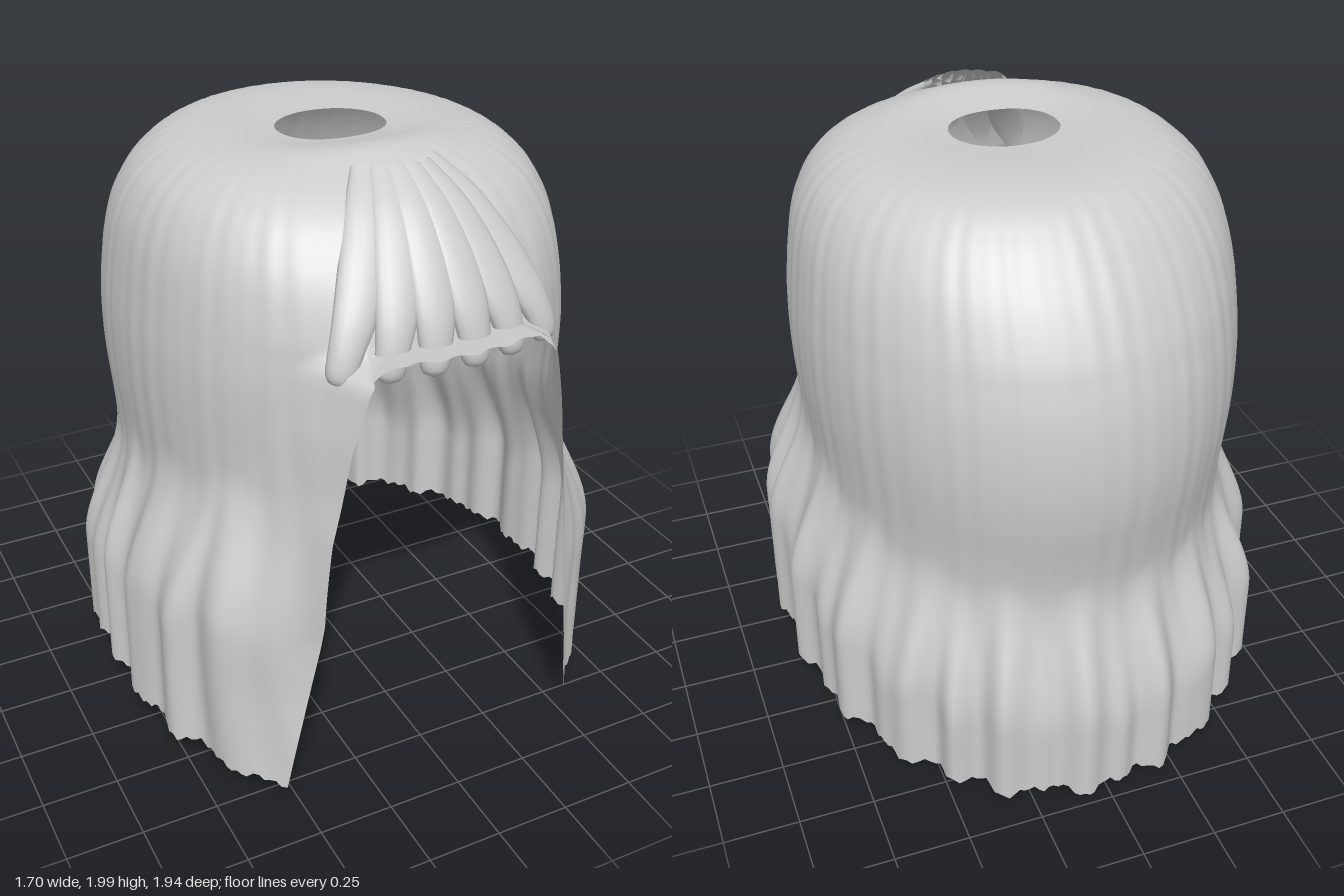
import * as THREE from 'three';

const { lerp, clamp, smoothstep } = THREE.MathUtils;
const V = (x, y, z) => new THREE.Vector3(x, y, z);
const BROW = 1.56;               // height where the face opening begins
const COLS = 320, GAP = 18;      // columns around the head, half-width of opening in columns
const DOME = 26, FALL = 56;      // rows above and below the brow
const GAP_ANGLE = (GAP / COLS) * Math.PI * 2;
const spline = pts => new THREE.CatmullRomCurve3(pts, false, 'catmullrom', 0.5);

// Crown section: half-width, height, front depth, back depth (last row only guides the curve)
const crown = [
  [0.18, 1.965, 0.20, 0.10], [0.34, 1.972, 0.38, 0.34], [0.50, 1.945, 0.52, 0.49],
  [0.60, 1.88, 0.63, 0.585], [0.655, 1.80, 0.705, 0.66], [0.69, 1.70, 0.77, 0.735],
  [0.712, BROW, 0.82, 0.81], [0.725, 1.42, 0.84, 0.853]];
const crownA = spline(crown.map(([x, y, f]) => V(x, y, f)));
const crownB = spline(crown.map(([, , , b]) => V(b, 0, 0)));
// Lower section, evenly spaced from the brow to the ground: half-width, front depth, back depth
const lower = spline([
  V(0.712, 0.82, 0.81), V(0.724, 0.835, 0.85), V(0.726, 0.835, 0.872), V(0.72, 0.83, 0.878),
  V(0.708, 0.82, 0.868), V(0.70, 0.81, 0.845), V(0.70, 0.80, 0.825), V(0.70, 0.79, 0.82),
  V(0.70, 0.785, 0.82), V(0.70, 0.78, 0.82), V(0.70, 0.78, 0.82), V(0.70, 0.78, 0.82), V(0.70, 0.78, 0.82)]);
const lowerAt = y => lower.getPoint(clamp((BROW - y) / BROW, 0, 1));
// Edge of the face opening: height, half-width, depth
const edge = [[1.56, 0.26, 0.925], [1.48, 0.31, 0.92], [1.3, 0.355, 0.905], [1.0, 0.40, 0.885],
  [0.7, 0.425, 0.88], [0.4, 0.475, 0.85], [0, 0.55, 0.83]];

function edgeAt(y) {
  let i = 0;
  while (i < edge.length - 2 && y < edge[i + 1][0]) i++;
  const a = edge[i], b = edge[i + 1], t = (a[0] - y) / (a[0] - b[0]);
  return [lerp(a[1], b[1], t), lerp(a[2], b[2], t)];
}

// Rounded oval whose front half is squarer, more so towards the hem
const squareness = y => lerp(3.0, 2.25, smoothstep(y, 0.5, 1.2));
function oval(th, y, rx, front, back, zc) {
  const s = Math.sin(th), c = Math.cos(th), n = c > 0 ? squareness(y) : 2;
  const r = (Math.abs(s) ** n + Math.abs(c) ** n) ** (-1 / n);
  return V(rx * s * r, y, zc + (c > 0 ? front - zc : back + zc) * c * r);
}

const folds = th => 0.5 * Math.sin(23 * th + 1.3 * Math.sin(5 * th)) + 0.3 * Math.sin(37 * th + 2)
  + 0.2 * Math.sin(14 * th + 1);
const streaks = th => 0.0011 * (Math.sin(61 * th + Math.sin(7 * th)) + Math.sin(43 * th + 1));

function flareAt(th, y) {
  const c = Math.cos(th);
  const start = 1.0 + (c > 0 ? 0.15 : 0.23) * c + 0.03 * Math.sin(19 * th);
  return 1 - smoothstep(y, start - 0.5, start);
}

function flared(th, y) {
  const r = lowerAt(y), f = flareAt(th, y) * 0.125;
  return oval(th, y, r.x + f, r.y + f * 0.55, r.z + f, 0);
}

function domePoint(th, t) {
  const u = t * (crown.length - 2) / (crown.length - 1);
  const a = crownA.getPoint(u), b = crownB.getPoint(u);
  const p = oval(th, a.y, a.x, a.z, b.x, lerp(0.05, 0, t));
  p.y += 0.028 * Math.max(0, Math.cos(th)) ** 2 * Math.exp(-(((t - 0.16) / 0.1) ** 2));
  const k = streaks(th) * Math.min(1, t * 3);
  return p.add(V(Math.sin(th) * k, 0, Math.cos(th) * k));
}

function fallPoint(th0, q, j) {
  const c0 = Math.cos(th0), side = Math.sign(th0) || 1;
  const jag = 0.009 * Math.sin(j * 1.9) + 0.006 * Math.sin(j * 0.83 + 1);
  const hem = 0.13 - 0.06 * Math.max(0, c0) ** 2 - 0.113 * Math.max(0, -c0) ** 1.5 + jag;
  const y = lerp(BROW, Math.max(0, hem), q), open = smoothstep(BROW - y, 0, 0.06);
  // slide the front columns sideways so that the first one follows the opening
  const [ex, ez] = edgeAt(y), n = squareness(y), ratio = ex / lowerAt(y).x;
  const thE = lerp(GAP_ANGLE, Math.atan2(ratio, (1 - ratio ** n) ** (1 / n)), open);
  const s = Math.max(0, (Math.abs(th0) - GAP_ANGLE) / (Math.PI - GAP_ANGLE));
  const th = side * (Math.abs(th0) + (thE - GAP_ANGLE) * Math.max(0, 1 - s / 0.6) ** 2);
  // pull a narrow strip beside the opening forward
  const p = flared(th, y), e = flared(thE, y);
  const reach = lerp(0.2, 0.085, smoothstep(y, 0.7, 1.5));
  const w = Math.max(0, 1 - s / reach) ** 2 * open;
  p.x += side * (ex - e.x) * w;
  p.z += (ez - e.z) * w;
  const k = streaks(th) + folds(th) * 0.04 * flareAt(th, y) * (1 - 0.7 * w);
  return p.add(V(Math.sin(th) * k, 0, Math.cos(th) * k));
}

// Surface from a grid of points; keep(i, j) can leave faces out
function gridGeometry(rows, cols, wrap, point, keep = () => true) {
  const pos = [], index = [], n = wrap ? cols : cols + 1;
  for (let i = 0; i <= rows; i++) for (let j = 0; j < n; j++) pos.push(...point(i, j).toArray());
  for (let i = 0; i < rows; i++) for (let j = 0; j < cols; j++) {
    if (!keep(i, j)) continue;
    const k = (j + 1) % n, a = i * n + j, b = i * n + k, c = a + n, d = b + n;
    index.push(a, c, b, b, c, d);
  }
  const g = new THREE.BufferGeometry();
  g.setAttribute('position', new THREE.Float32BufferAttribute(pos, 3));
  g.setIndex(index);
  g.computeVertexNormals();
  return g;
}

export function createModel() {
  const group = new THREE.Group();
  const mat = new THREE.MeshStandardMaterial({ color: 0xcccccc, side: THREE.DoubleSide });
  const add = (name, geo, parent = group) => {
    const m = new THREE.Mesh(geo, mat);
    m.name = name;
    parent.add(m);
  };

  // Main hair: dome with open crown, flowing into the pleated fall
  const angle = j => (j / COLS) * Math.PI * 2 - Math.PI;
  add('hairShell', gridGeometry(DOME + FALL, COLS, true,
    (i, j) => i <= DOME ? domePoint(angle(j), i / DOME) : fallPoint(angle(j), (i - DOME) / FALL, j),
    (i, j) => i < DOME || j < COLS / 2 - GAP || j >= COLS / 2 + GAP));

  // Thin wavy lip turned forward above the face
  add('browLip', gridGeometry(4, 60, false, (i, j) => {
    const u = j / 30 - 1, inner = domePoint(u * GAP_ANGLE, 1);
    const outer = V(u * 0.3, BROW + 0.008, 0.962 - 0.045 * u * u + 0.009 * Math.cos(u * 17));
    outer.y -= Math.max(0, Math.abs(u) - 0.8) * 0.25;
    return inner.lerp(outer, i / 4);
  }));

  // Fringe of six flattened strands, joined at the top and parted at the tips
  const fringe = new THREE.Group();
  fringe.name = 'fringe';
  group.add(fringe);
  const widths = spline([0.04, 0.056, 0.066, 0.064, 0.052, 0.044].map(w => V(w, 0, 0)));
  const SEG = 30, SIDES = 16;
  for (let n = 0; n < 6; n++) {
    const k = (n - 2.5) / 2.5, in2 = k * k;
    const path = spline([
      V(0.105 * k, 1.972, 0.525 - 0.045 * in2), V(0.165 * k, 1.89, 0.65 - 0.055 * in2),
      V(0.22 * k, 1.78, 0.75 - 0.06 * in2), V(0.275 * k, 1.66, 0.822 - 0.062 * in2),
      V(0.32 * k, 1.56, 0.853 - 0.062 * in2), V(0.348 * k, 1.46, 0.86 - 0.06 * in2)]);
    add('fringeStrand', gridGeometry(SEG, SIDES, true, (i, j) => {
      const t = i / SEG, a = (j / SIDES) * Math.PI * 2;
      const tan = path.getTangent(t), facing = V(0.45 * k, 0, 1);
      const out = facing.clone().addScaledVector(tan, -facing.dot(tan)).normalize();
      const across = tan.clone().cross(out);
      const round = Math.sqrt(Math.max(0, 1 - clamp((t - 0.9) / 0.1, 0, 1) ** 2));
      const w = widths.getPoint(t).x * round, d = lerp(0.02, 0.036, t) * round;
      return path.getPoint(t).addScaledVector(across, -Math.cos(a) * w).addScaledVector(out, Math.sin(a) * d);
    }), fringe);
  }
  return group;
}
